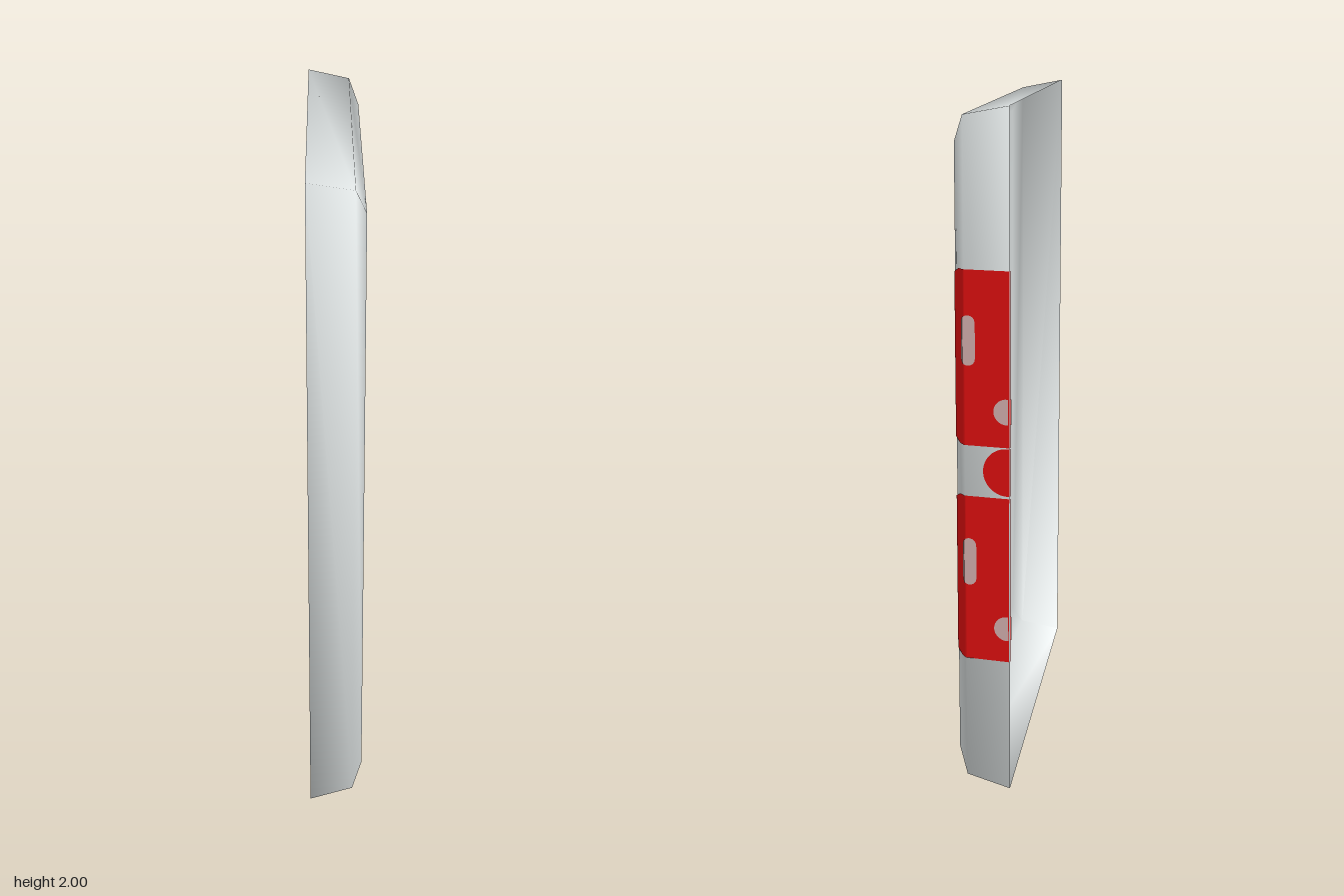
import * as THREE from 'three';

const mat = (name, color) => {
  const m = new THREE.MeshStandardMaterial({ color, side: THREE.DoubleSide });
  m.name = name;
  return m;
};

export function createModel() {
  const group = new THREE.Group();
  const plateGrey = mat('plate grey', 0xdbe0e0);
  const teal = mat('teal', 0x42d0d0);
  const paleTeal = mat('pale teal', 0x78d0ce);
  const red = mat('red', 0xdf0f0f);
  const palePink = mat('pale pink', 0xd4b0ae);

  const add = (name, geometry, material) => {
    const mesh = new THREE.Mesh(geometry, material);
    mesh.name = name;
    group.add(mesh);
    return mesh;
  };
  const build = (positions, index) => {
    const g = new THREE.BufferGeometry();
    g.setAttribute('position', new THREE.Float32BufferAttribute(positions, 3));
    g.setIndex(index);
    g.computeVertexNormals();
    return g;
  };

  // Cover plate: open-backed shell of three rectangular rings, facing +x
  const rings = [[-0.08, 0.59, 0, 2], [0.05, 0.575, 0.03, 1.975], [0.08, 0.535, 0.1, 1.9]];
  const pos = [], idx = [];
  for (const [x, z, y0, y1] of rings) pos.push(x, y0, z, x, y0, -z, x, y1, -z, x, y1, z);
  for (let r = 0; r < 2; r++) {
    for (let i = 0; i < 4; i++) {
      const a = r * 4 + i, b = r * 4 + (i + 1) % 4;
      idx.push(a, b, b + 4, a, b + 4, a + 4);
    }
  }
  idx.push(8, 9, 10, 8, 10, 11);
  add('coverPlate', build(pos, idx), plateGrey);

  // Flat markings, drawn with shape x = -z, shown on both faces of the shell
  const decal = (name, shape, s, y, material) => {
    for (const lift of [0.002, -0.002]) {
      const mesh = add(name, new THREE.ShapeGeometry(shape, 24).rotateY(Math.PI / 2), material);
      mesh.position.set(0.08 + lift, y, -s);
    }
  };
  const clippedCircle = (path, r, h) => {
    const a = Math.asin(h / r);
    path.absarc(0, 0, r, -a, a, false);
    path.absarc(0, 0, r, Math.PI - a, Math.PI + a, false);
    path.closePath();
    return path;
  };
  const slot = (w, h) => {
    const r = w / 2, d = h / 2 - r, p = new THREE.Shape();
    p.absarc(0, d, r, 0, Math.PI, false);
    p.absarc(0, -d, r, Math.PI, 2 * Math.PI, false);
    return p;
  };
  const outline = clippedCircle(new THREE.Shape(), 0.288, 0.25);
  outline.holes.push(clippedCircle(new THREE.Path(), 0.274, 0.237));
  const pin = new THREE.Shape();
  pin.absarc(0, 0.003, 0.037, 0, Math.PI, false);
  pin.lineTo(-0.037, -0.02);
  pin.lineTo(-0.02, -0.04);
  pin.lineTo(0.02, -0.04);
  pin.lineTo(0.037, -0.02);

  const centres = [0.66, 1.31];
  for (const y of centres) {
    decal('socketOutline', outline, 0.007, y, paleTeal);
    decal('longSlot', slot(0.042, 0.142), -0.1, y + 0.052, paleTeal);
    decal('shortSlot', slot(0.04, 0.112), 0.114, y + 0.048, paleTeal);
    decal('groundHole', pin, 0.008, y - 0.146, teal);
  }
  const screw = new THREE.Shape();
  screw.absarc(0, 0, 0.058, 0, Math.PI * 2, false);
  decal('centreScrew', screw, 0.008, 0.987, teal);

  // Markings that wrap from the front face over the bevel onto the -z wall
  const fold = [[0, 0.08, 0], [0.535, 0.08, -0.535], [0.575, 0.05, -0.575], [0.705, -0.08, -0.59]];
  const foldPoint = (s) => {
    const i = s <= 0.535 ? 0 : s <= 0.575 ? 1 : 2;
    const [s0, x0, z0] = fold[i], [s1, x1, z1] = fold[i + 1];
    const t = (s - s0) / (s1 - s0);
    return [x0 + (x1 - x0) * t, z0 + (z1 - z0) * t];
  };
  const foldedPatch = (name, start, end, y, half, lift, material) => {
    const stops = [0.535, 0.575].filter((s) => s > start && s < end);
    for (let i = 0; i <= 32; i++) stops.push(start + (end - start) * (i / 32) ** 1.5);
    stops.sort((a, b) => a - b);
    for (const l of [lift, -lift]) {
      const p = [], f = [];
      stops.forEach((s, i) => {
        const [x, z] = foldPoint(s), h = half(s);
        p.push(x + l, y - h, z - l, x + l, y + h, z - l);
        if (i) f.push(2 * i - 2, 2 * i, 2 * i + 1, 2 * i - 2, 2 * i + 1, 2 * i - 1);
      });
      add(name, build(p, f), material);
    }
  };
  const arc = (c, r) => (s) => Math.sqrt(Math.max(0, r * r - (s - c) ** 2));
  const C = 0.7, END = 0.705;
  for (const y of centres) {
    foldedPatch('wrappedSocket', C - 0.288, END, y, (s) => Math.min(0.25, arc(C, 0.288)(s)), 0.002, red);
    const slotEnd = arc(0.59, 0.021);
    foldedPatch('wrappedSlot', 0.569, 0.611, y + 0.052, (s) => 0.05 + slotEnd(s), 0.004, palePink);
    foldedPatch('wrappedGroundHole', C - 0.037, END, y - 0.146, arc(C, 0.037), 0.004, palePink);
  }
  foldedPatch('wrappedScrew', C - 0.07, END, 0.987, arc(C, 0.07), 0.002, red);

  return group;
}
